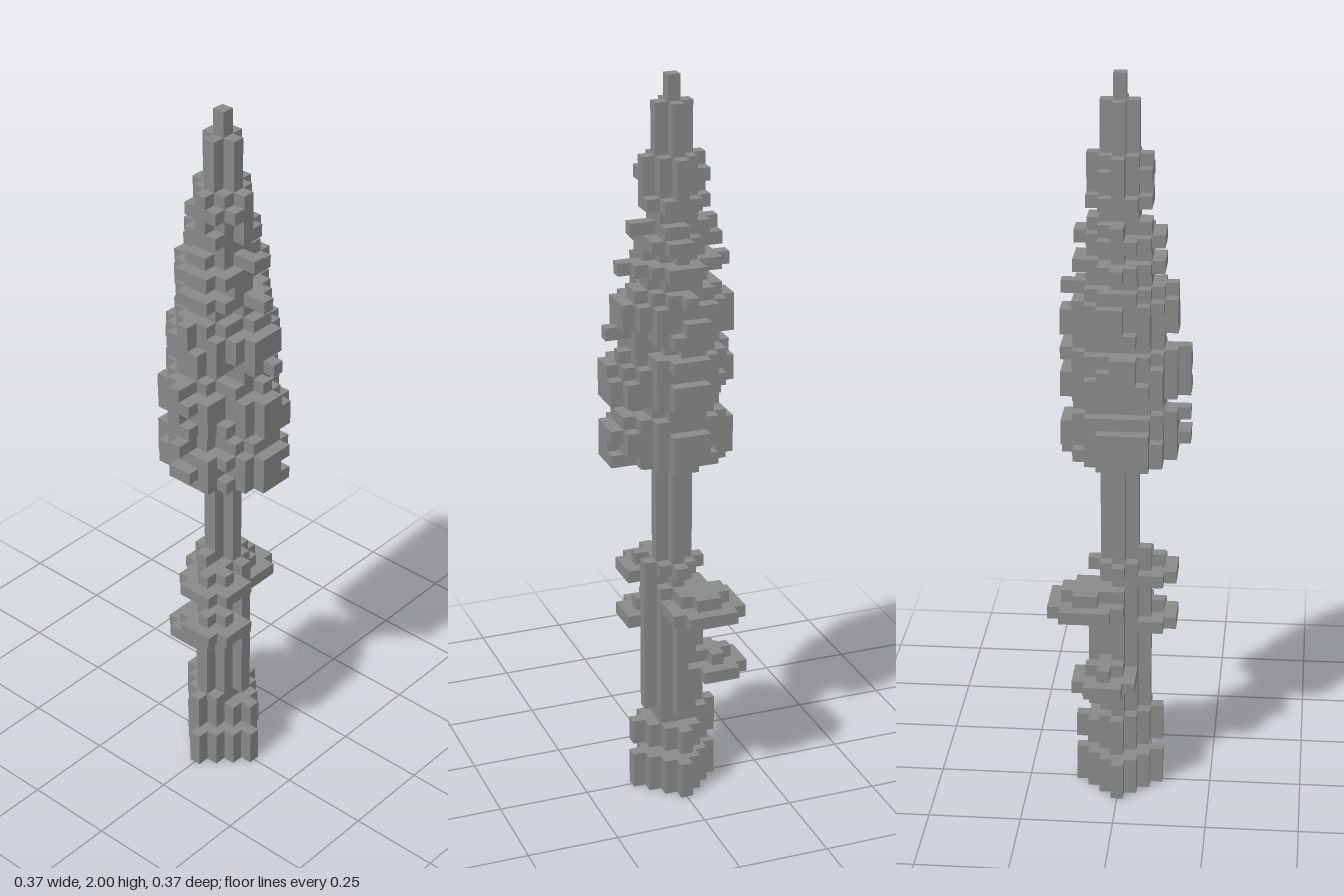
import * as THREE from 'three';

const U = 2 / 59; // cube size

// Overall plan outline of the crown: [xMin, xMax] for z = -5..5
const OUTLINE = [[-3, 0], [-4, 1], [-4, 2], [-5, 4], [-5, 5], [-5, 5], [-4, 5], [-4, 4], [-3, 3], [-1, 3], [0, 2]];

// Crown layers from y = 29: [xMin, xMax, zMin, zMax, diamond reach]
const CROWN = [
  [-4, 5, -4, 4, 6], [-4, 5, -4, 5, 6], [-4, 5, -4, 4, 6], [-3, 5, -3, 5, 5],
  [-2, 3, -3, 3, 4],
  [-3, 5, -4, 5, 6], [-4, 5, -4, 5, 6], [-4, 5, -3, 5, 6], [-4, 5, -4, 5, 5],
  [-2, 3, -3, 3, 4],
  [-4, 5, -4, 4, 5], [-4, 4, -4, 4, 5], [-4, 4, -3, 4, 5], [-4, 3, -4, 4, 4],
  [-2, 2, -2, 2, 3],
  [-4, 4, -4, 3, 4],
  [-2, 2, -3, 3, 3], [-3, 2, -3, 3, 4], [-3, 3, -3, 3, 3],
  [-1, 1, -1, 1, 2],
  [-2, 2, -2, 2, 3], [-2, 2, -2, 2, 2], [-2, 2, -2, 2, 3], [-2, 2, -2, 2, 2],
];

let seed = 7;
function rand() {
  seed = (seed * 16807) % 2147483647;
  return seed / 2147483647;
}

const key = (x, y, z) => `${x},${y},${z}`;

export function createModel() {
  const group = new THREE.Group();
  const grey = new THREE.MeshStandardMaterial({ color: 0x888888 });
  grey.name = 'grey';

  const owner = new Map(); // cube -> part name
  const put = (part, x, y, z) => {
    const k = key(x, y, z);
    if (!owner.has(k)) owner.set(k, { part, x, y, z });
  };
  const fillLayer = (part, y, test) => {
    for (let z = -5; z <= 5; z++) for (let x = -5; x <= 5; x++) if (test(x, z)) put(part, x, y, z);
  };
  const diamond = (part, y0, y1, r) => {
    for (let y = y0; y <= y1; y++) fillLayer(part, y, (x, z) => Math.abs(x) + Math.abs(z) <= r);
  };
  const disc = (part, y, cx, cz, r) => fillLayer(part, y, (x, z) => Math.hypot(x - cx, z - cz) <= r);

  // Base slab, floating trunk foot and stepped trunk
  diamond('base', 0, 2, 3);
  diamond('trunk', 4, 5, 3);
  fillLayer('trunk', 6, (x, z) => Math.abs(x) + Math.abs(z) <= 3 && x < 2 && z > -2);
  diamond('trunk', 7, 17, 2);
  diamond('trunk', 18, 27, 1);
  diamond('trunk', 28, 28, 2);

  // Small leaf pads on the trunk
  disc('rightLeafPad', 10, -3, -1, 2.3);
  disc('rightLeafPad', 11, -3, -1, 1);
  disc('lowerFrontLeafPad', 14, 1, 2, 2.3);
  disc('lowerFrontLeafPad', 15, 1, 2, 1);
  disc('backLeafPad', 16, -1.5, -2.5, 2.95);
  disc('backLeafPad', 17, -1.5, -2.5, 1.6);
  disc('upperFrontLeafPad', 18, 1, 2, 2.3);
  disc('upperFrontLeafPad', 19, 1, 2, 1);
  diamond('upperFrontLeafPad', 19, 19, 2);
  put('upperFrontLeafPad', 0, 20, 2);

  // Tiered crown with a ragged edge
  CROWN.forEach(([x0, x1, z0, z1, reach], i) => {
    fillLayer('crown', 29 + i, (x, z) => {
      const [a, b] = OUTLINE[z + 5];
      const d = Math.abs(x) + Math.abs(z);
      const limit = x + z < 0 && x <= 0 && z <= 0 ? Math.min(reach, 5) : reach;
      if (x < Math.max(a, x0) || x > Math.min(b, x1) || z < z0 || z > z1 || d > limit) return false;
      return d < limit || d < 3 || rand() > 0.25;
    });
  });

  // Narrow top and tip
  diamond('spire', 53, 56, 1);
  diamond('spire', 57, 58, 0);

  // Outer cube faces only, gathered into one mesh per part
  const faces = [];
  for (let axis = 0; axis < 3; axis++) {
    for (const s of [1, -1]) {
      const n = [0, 0, 0];
      n[axis] = s;
      const corners = [[-1, -1], [1, -1], [1, 1], [-1, 1]].map(([p, q]) => {
        const c = [0, 0, 0];
        c[axis] = s * 0.5;
        c[(axis + 1) % 3] = p * 0.5 * s;
        c[(axis + 2) % 3] = q * 0.5;
        return c;
      });
      faces.push({ n, corners });
    }
  }
  const parts = new Map();
  for (const { part, x, y, z } of owner.values()) {
    if (!parts.has(part)) parts.set(part, { pos: [], nor: [] });
    const { pos, nor } = parts.get(part);
    for (const { n, corners } of faces) {
      if (owner.has(key(x + n[0], y + n[1], z + n[2]))) continue;
      for (const i of [0, 1, 2, 0, 2, 3]) {
        const c = corners[i];
        pos.push((x + c[0]) * U, (y + 0.5 + c[1]) * U, (z + c[2]) * U);
        nor.push(...n);
      }
    }
  }
  for (const [name, { pos, nor }] of parts) {
    const geometry = new THREE.BufferGeometry();
    geometry.setAttribute('position', new THREE.Float32BufferAttribute(pos, 3));
    geometry.setAttribute('normal', new THREE.Float32BufferAttribute(nor, 3));
    const mesh = new THREE.Mesh(geometry, grey);
    mesh.name = name;
    group.add(mesh);
  }
  return group;
}
